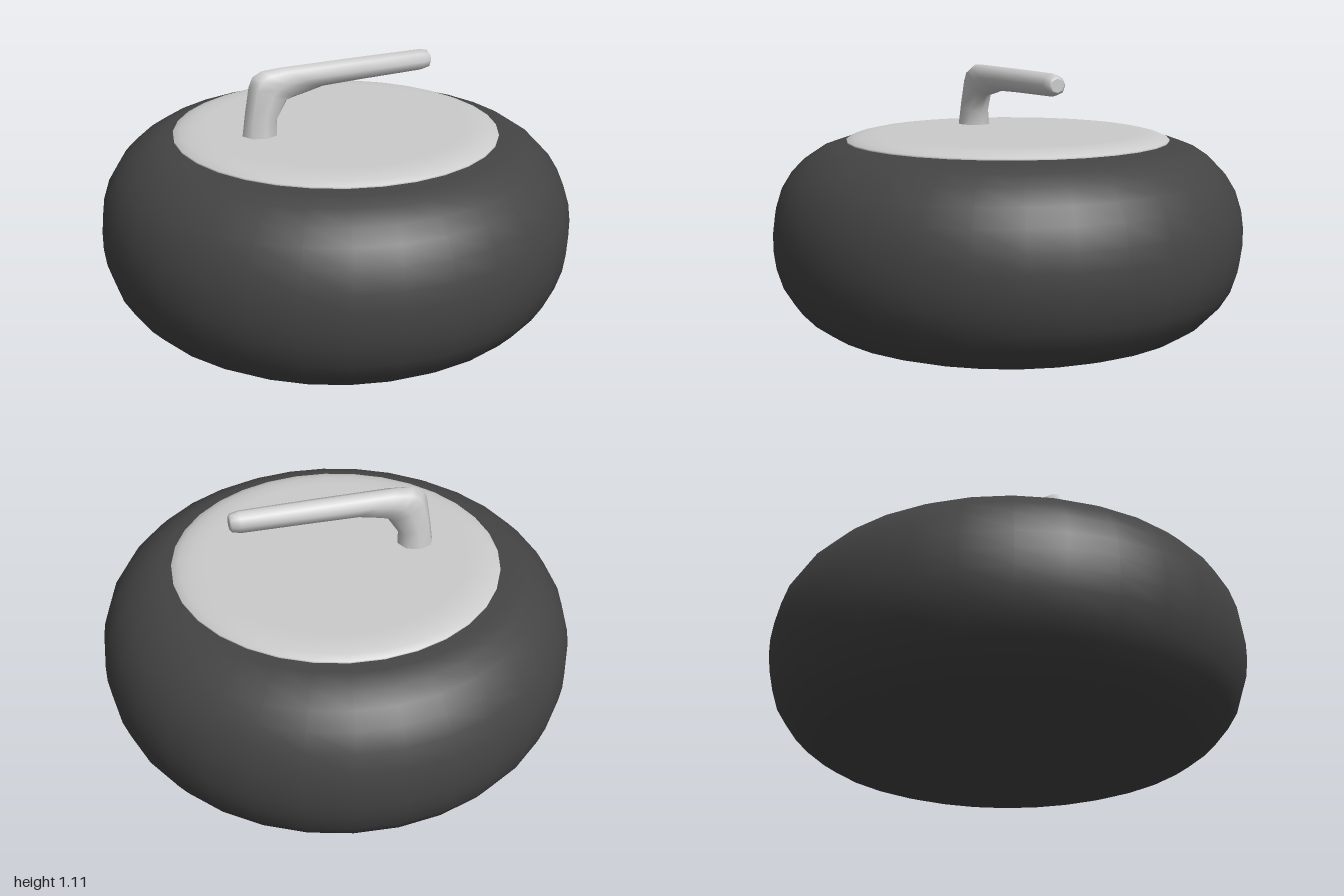
import * as THREE from 'three';

const grey = new THREE.MeshStandardMaterial({ color: 0xcccccc });
const dark = new THREE.MeshStandardMaterial({ color: 0x444444 });

function part(name, geometry, material) {
  const mesh = new THREE.Mesh(geometry, material);
  mesh.name = name;
  return mesh;
}

function turned(profile, segments = 32) {
  return new THREE.LatheGeometry(profile.map(([r, y]) => new THREE.Vector2(r, y)), segments);
}

// Loft through oval rings, each given as [outerX, outerY, innerX, innerY, halfWidth]
function loft(rings, sides) {
  const positions = [], index = [];
  const addRing = ([ox, oy, ix, iy, w]) => {
    const cx = (ox + ix) / 2, cy = (oy + iy) / 2;
    for (let i = 0; i < sides; i++) {
      const a = (i / sides) * Math.PI * 2, c = Math.cos(a);
      positions.push(cx + (ox - cx) * c, cy + (oy - cy) * c, w * Math.sin(a));
    }
  };
  rings.forEach(addRing);
  for (let r = 0; r < rings.length - 1; r++) {
    for (let i = 0; i < sides; i++) {
      const j = (i + 1) % sides, a = r * sides, b = a + sides;
      index.push(a + i, a + j, b + j, a + i, b + j, b + i);
    }
  }
  // Separate end caps keep the rims sharp
  const start = rings.length * sides;
  addRing(rings[0]);
  addRing(rings[rings.length - 1]);
  for (let i = 1; i < sides - 1; i++) {
    index.push(start, start + i + 1, start + i);
    index.push(start + sides, start + sides + i, start + sides + i + 1);
  }
  const geometry = new THREE.BufferGeometry();
  geometry.setAttribute('position', new THREE.Float32BufferAttribute(positions, 3));
  geometry.setIndex(index);
  geometry.computeVertexNormals();
  return geometry;
}

export function createModel() {
  const model = new THREE.Group();
  model.name = 'curlingStone';

  // Rounded stone, mirrored about its middle height
  const middle = 0.407;
  const lower = [[0, 0], [0.55, 0.003], [0.73, 0.015], [0.8, 0.04], [0.865, 0.083],
    [0.92, 0.14], [0.963, 0.21], [0.99, 0.295], [1, 0.37]];
  const upper = lower.map(([r, y]) => [r, 2 * middle - y]).reverse();
  model.add(part('stoneBody', turned([...lower, ...upper]), dark));

  // Shallow bevelled plate on top
  model.add(part('topPlate', turned([[0.685, 0.808], [0.685, 0.815], [0.655, 0.828],
    [0.61, 0.838], [0.55, 0.841], [0, 0.841]]), grey));

  // Gooseneck handle: tapering post bending into a horizontal grip
  model.add(part('handle', loft([
    [-0.425, 0.83, -0.27, 0.83, 0.073],
    [-0.41, 0.94, -0.27, 0.9, 0.062],
    [-0.392, 1.045, -0.225, 0.97, 0.054],
    [-0.375, 1.085, -0.19, 0.98, 0.052],
    [-0.335, 1.105, -0.14, 0.99, 0.051],
    [-0.26, 1.11, -0.06, 1.008, 0.05],
    [0.1, 1.111, 0.1, 1.013, 0.05],
    [0.4, 1.11, 0.4, 1.018, 0.047],
    [0.435, 1.102, 0.435, 1.026, 0.038],
    [0.442, 1.092, 0.442, 1.036, 0.03],
  ], 8), grey));

  return model;
}
